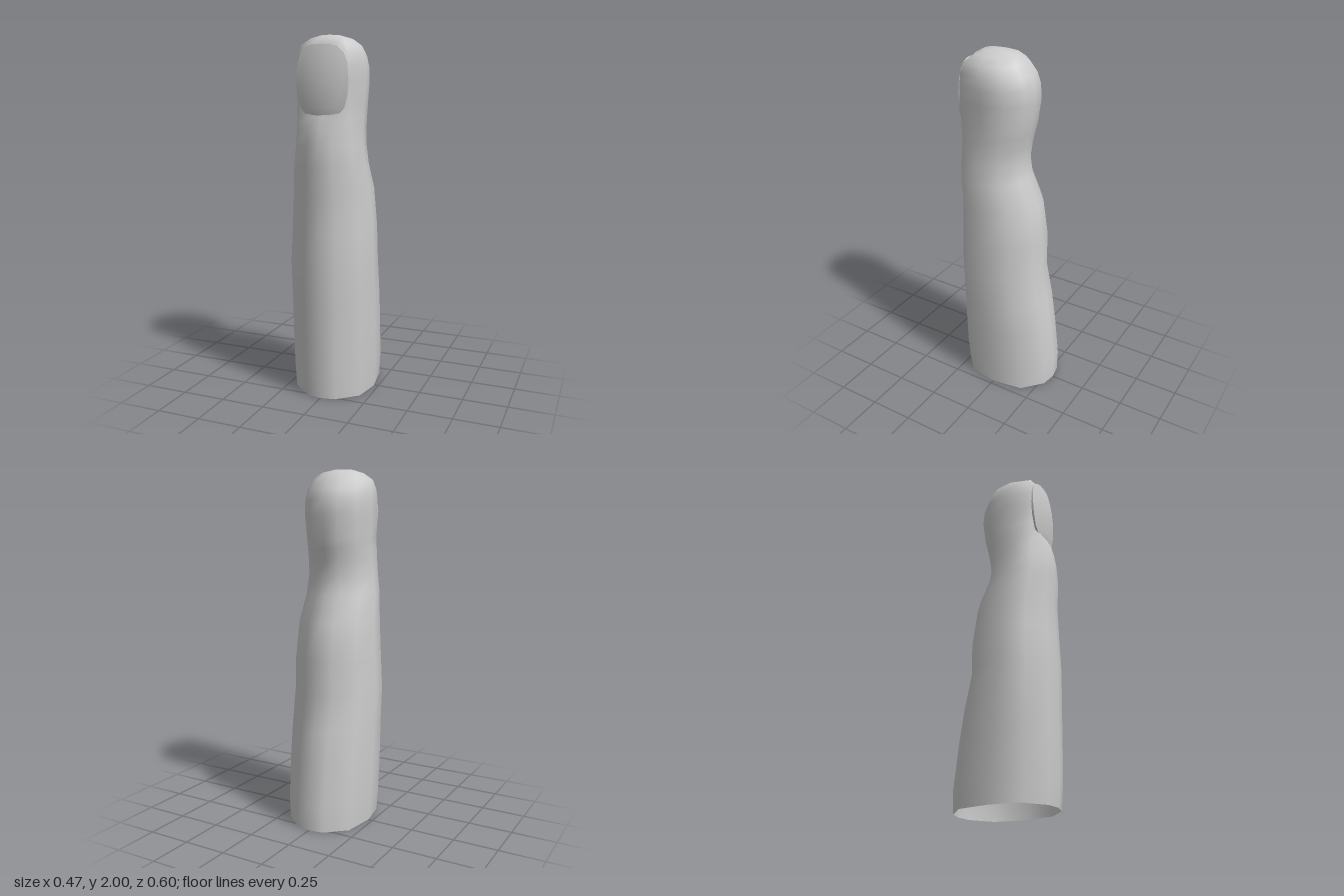
import * as THREE from 'three';
import { toCreasedNormals } from 'three/addons/utils/BufferGeometryUtils.js';

// Skins rows of points, listed bottom to top; wrap closes each row into a ring.
function loft(rows, wrap) {
  const n = rows[0].length, cols = wrap ? n : n - 1, index = [];
  for (let i = 0; i < rows.length - 1; i++) {
    for (let j = 0; j < cols; j++) {
      const k = (j + 1) % n;
      const a = i * n + j, b = i * n + k, c = a + n, d = b + n;
      index.push(a, b, d, a, d, c);
    }
  }
  const geo = new THREE.BufferGeometry();
  geo.setAttribute('position', new THREE.Float32BufferAttribute(rows.flat(2), 3));
  geo.setIndex(index);
  geo.computeVertexNormals();
  return geo;
}

// Half cross-section from front to back, round and with a flattened nail bed.
const ROUND = [[0, 1], [0.38, 0.94], [0.87, 0.6], [1, 0.05], [0.87, -0.6], [0.37, -0.95], [0, -1]];
const FLAT = [[0, 1], [0.42, 1], [0.8, 0.95], [1, 0.15], [0.87, -0.52], [0.45, -0.94], [0, -1]];

// y, half width, front z, back z, flatness of the front
const SECTIONS = [
  [0, 0.225, 0.28, -0.295, 0],
  [0.13, 0.232, 0.29, -0.297, 0],
  [0.38, 0.236, 0.295, -0.267, 0],
  [0.56, 0.236, 0.296, -0.24, 0],
  [0.76, 0.237, 0.3, -0.197, 0],
  [0.95, 0.228, 0.294, -0.2, 0],
  [1.16, 0.215, 0.29, -0.17, 0],
  [1.31, 0.199, 0.3, -0.1, 0],
  [1.42, 0.186, 0.294, -0.087, 0],
  [1.5, 0.182, 0.28, -0.098, 0.2],
  [1.57, 0.182, 0.256, -0.112, 0.6],
  [1.62, 0.183, 0.235, -0.123, 1],
  [1.75, 0.188, 0.235, -0.14, 1],
  [1.83, 0.188, 0.235, -0.135, 1],
  [1.89, 0.179, 0.234, -0.115, 1],
  [1.945, 0.157, 0.226, -0.075, 0.9],
  [1.98, 0.108, 0.197, -0.03, 0.5],
  [1.997, 0.05, 0.165, 0.04, 0],
  [2, 0, 0.1, 0.1, 0],
];

function ring([y, w, front, back, flat]) {
  const mid = (front + back) / 2, depth = (front - back) / 2;
  const half = ROUND.map(([x, z], i) => [
    THREE.MathUtils.lerp(x, FLAT[i][0], flat) * w, y,
    mid + THREE.MathUtils.lerp(z, FLAT[i][1], flat) * depth,
  ]);
  const mirrored = half.slice(1, -1).reverse().map(([x, py, z]) => [-x, py, z]);
  return [...half, ...mirrored];
}

// y, half width, z of the centre line
const NAIL = [
  [1.578, 0.075, 0.251], [1.59, 0.1, 0.254], [1.62, 0.122, 0.259], [1.69, 0.143, 0.266],
  [1.77, 0.15, 0.268], [1.85, 0.143, 0.262], [1.905, 0.122, 0.254],
  [1.935, 0.09, 0.248], [1.945, 0.055, 0.246],
];

function nailRow([y, w, z], buried) {
  const row = [[-w, y, 0.2]];
  for (let i = -4; i <= 4; i++) {
    const x = w * i / 4;
    row.push([x, y, buried ? 0.2 : z - 0.03 * (x / 0.15) ** 2]);
  }
  row.push([w, y, 0.2]);
  return row;
}

export function createModel() {
  const group = new THREE.Group();
  group.name = 'finger';
  const material = new THREE.MeshStandardMaterial({ color: 0xcccccc, side: THREE.DoubleSide });

  // Skin, open at the base
  const skin = new THREE.Mesh(loft(SECTIONS.map(ring), true), material);
  skin.name = 'fingerSkin';
  group.add(skin);

  // Curved nail plate with a rim sunk into the skin
  const rows = NAIL.map((r) => nailRow(r, false));
  rows.unshift(nailRow(NAIL[0], true));
  rows.push(nailRow(NAIL[NAIL.length - 1], true));
  const nail = new THREE.Mesh(toCreasedNormals(loft(rows, false), 0.7), material);
  nail.name = 'fingernail';
  group.add(nail);

  return group;
}
